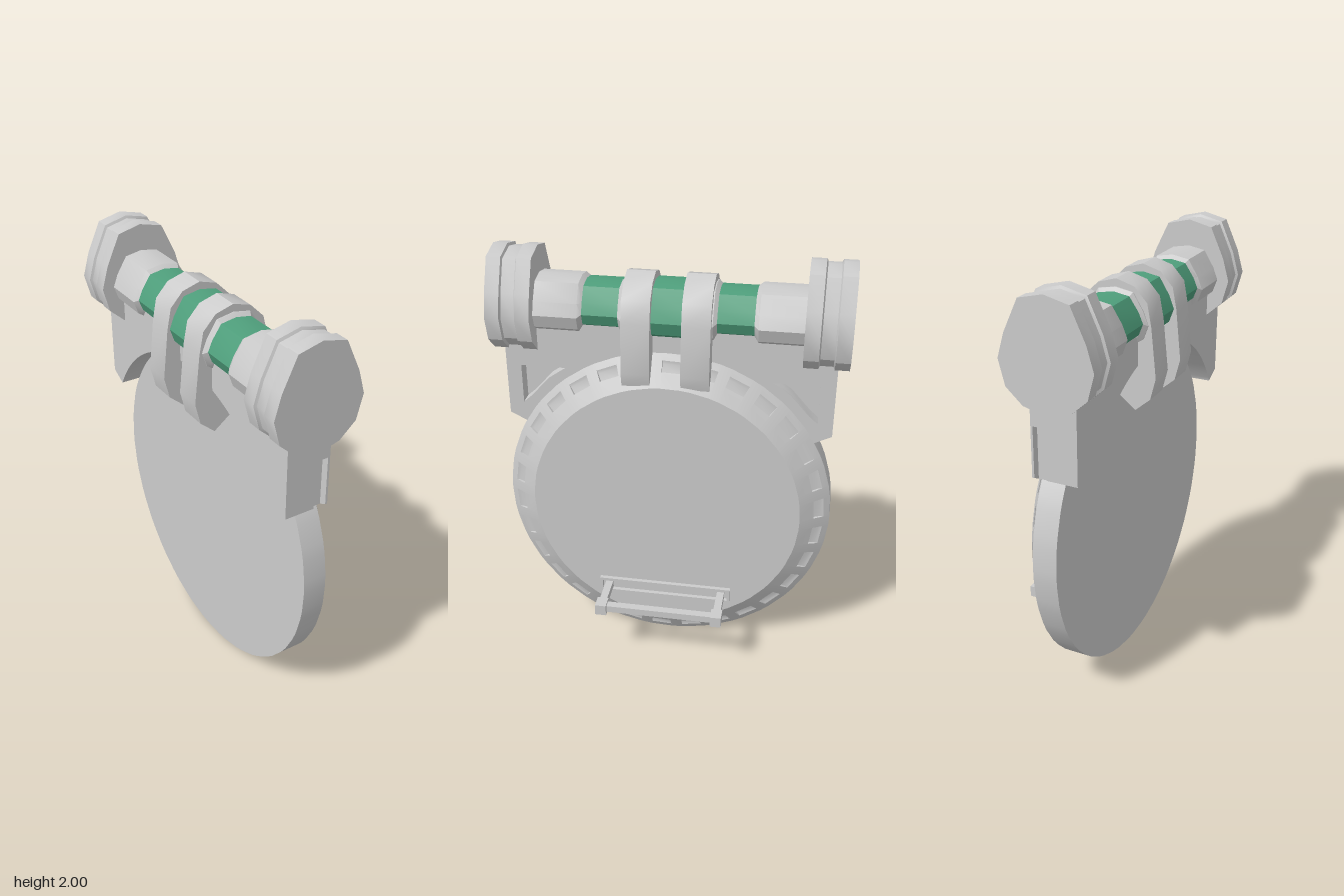
import * as THREE from 'three';
import { mergeGeometries, toCreasedNormals } from 'three/addons/utils/BufferGeometryUtils.js';

const grey = new THREE.MeshStandardMaterial({ color: 0xcccccc, side: THREE.DoubleSide });
const green = new THREE.MeshStandardMaterial({ color: 0x4f9f7c });
const AXIS_X = -0.105;

// Right half of the twelve-sided tube section, mirrored to the left
const half = [[0, 1], [0.53, 0.89], [0.85, 0.3], [1, -0.14], [0.86, -0.6], [0.5, -0.88], [0, -1]];
const section = [...half, ...half.slice(1, 6).reverse().map(([x, y]) => [-x, y])].reverse();

function add(parent, name, geometry, material = grey) {
  const mesh = new THREE.Mesh(toCreasedNormals(geometry, 0.55), material);
  mesh.name = name;
  parent.add(mesh);
  return mesh;
}

// Loft the tube section through stations [z, halfWidth, halfHeight, centreY], z rising
function loft(stations) {
  const first = stations[0], last = stations[stations.length - 1];
  const rings = [[first[0], 0, 0, first[3]], ...stations, [last[0], 0, 0, last[3]]];
  const pos = [], index = [], n = section.length;
  for (const [z, w, h, cy] of rings)
    for (const [x, y] of section) pos.push(AXIS_X + x * w, cy + y * h, z);
  for (let i = 0; i < rings.length - 1; i++) {
    for (let j = 0; j < n; j++) {
      const a = i * n + j, b = i * n + (j + 1) % n, c = a + n, d = b + n;
      if (i > 0) index.push(a, b, d);
      if (i < rings.length - 2) index.push(a, d, c);
    }
  }
  const g = new THREE.BufferGeometry();
  g.setAttribute('position', new THREE.Float32BufferAttribute(pos, 3));
  g.setIndex(index);
  return g;
}

const flip = (stations) => stations.map(([z, ...r]) => [-z, ...r]).reverse();

// Extrude a (z, y) outline from x0 to x1
function slab(shape, x0, x1) {
  return new THREE.ExtrudeGeometry(shape, { depth: x1 - x0, bevelEnabled: false, curveSegments: 32 })
    .rotateY(Math.PI / 2).translate(x0, 0, 0);
}

const polygon = (pts, Type = THREE.Shape) => new Type(pts.map(([x, y]) => new THREE.Vector2(x, y)));

// Disc with a bevelled front edge and a ring of shallow slots
function discGeometry() {
  const R = 0.783, inner = 0.645, front = 0.085, depth = 0.016;
  const v = (r, y) => new THREE.Vector2(r, y);
  const bevelR = (x) => R + (inner - R) * x / front;
  const a = 0.018, b = 0.046;
  const slot = [v(bevelR(a), a), v(bevelR(a) - depth, a), v(bevelR(b) - depth, b - 0.008), v(bevelR(b), b)];
  const plain = [v(0, -0.113), v(R, -0.113), v(R, 0), v(inner, front), v(0, front)];
  const cut = [...plain.slice(0, 3), ...slot, ...plain.slice(3)];
  const parts = [], count = 30, step = Math.PI * 2 / count, open = step * 0.64;
  for (let i = 0; i < count; i++) {
    const p = i * step;
    parts.push(new THREE.LatheGeometry(cut, 1, p, open));
    parts.push(new THREE.LatheGeometry(plain, 1, p + open, step - open));
    for (const phi of [p, p + open])
      parts.push(new THREE.ShapeGeometry(new THREE.Shape(slot)).rotateY(phi - Math.PI / 2));
  }
  return mergeGeometries(parts).rotateZ(-Math.PI / 2).translate(0, R, 0);
}

// Bracket layer: arched plate, optionally notched at the ends and with corner windows
function bracketLayer(x0, x1, notched, windows) {
  const side = [[0.68, 1.165], [0.76, 1.205], [0.76, 1.6], [0.6, 1.68]];
  if (notched) side.splice(1, 1, [0.725, 1.187], [0.725, 1.435], [0.76, 1.435]);
  const s = polygon([...side, ...side.map(([z, y]) => [-z, y]).reverse()]);
  s.absarc(0, 0.783, 0.78, Math.PI - 0.512, 0.512, true);
  if (windows) {
    for (const m of [1, -1])
      s.holes.push(polygon([[0.69, 1.455], [0.48, 1.455], [0.56, 1.4], [0.65, 1.3], [0.69, 1.265]]
        .map(([z, y]) => [m * z, y]), THREE.Path));
  }
  return slab(s, x0, x1);
}

function box(x0, x1, y0, y1, z0, z1) {
  return new THREE.BoxGeometry(x1 - x0, y1 - y0, z1 - z0)
    .translate((x0 + x1) / 2, (y0 + y1) / 2, (z0 + z1) / 2);
}

export function createModel() {
  const model = new THREE.Group();
  model.name = 'discWithTube';

  add(model, 'disc', discGeometry());

  // Bracket joining disc and tube
  const bracket = new THREE.Group();
  bracket.name = 'bracket';
  model.add(bracket);
  add(bracket, 'bracketBack', bracketLayer(-0.21, -0.07, false, false));
  add(bracket, 'bracketMiddle', bracketLayer(-0.07, -0.01, true, true));
  add(bracket, 'bracketFront', bracketLayer(-0.01, 0, false, true));

  // Tube: end caps, sleeves, collars and coloured bands
  const C = 1.742, E = 1.755;
  const cap = [[0.605, 0.21, 0.245, E], [0.672, 0.21, 0.245, E], [0.678, 0.198, 0.233, E],
    [0.738, 0.198, 0.233, E], [0.744, 0.21, 0.245, E], [0.81, 0.21, 0.245, E]];
  const sleeve = [[0.385, 0.137, 0.109, 1.75], [0.405, 0.153, 0.133, C], [0.62, 0.153, 0.133, C]];
  const band = [[0.215, 0.137, 0.109, 1.75], [0.39, 0.137, 0.109, 1.75]];
  const collar = [[0.19, 0.153, 0.133, C], [0.205, 0.153, 0.133, C], [0.222, 0.137, 0.109, 1.75]];
  for (const [label, turn] of [['left', (s) => s], ['right', flip]].map(([l, t]) => [l === 'left' ? 'front' : 'back', t])) {
    add(model, label + 'EndCap', loft(turn(cap)));
    add(model, label + 'Sleeve', loft(turn(sleeve)));
    add(model, label + 'Band', loft(turn(band)), green);
    add(model, label + 'Collar', loft(turn(collar)));
  }
  add(model, 'middleBand', loft([[-0.08, 0.153, 0.133, C], [0.08, 0.153, 0.133, C]]), green);

  // Clamps wrapping the tube down onto the disc
  const clamp = polygon([[-0.19, 1.885], [-0.105, 1.91], [-0.02, 1.885], [0.045, 1.82], [0.07, 1.72],
    [0.09, 1.49], [0.075, 1.425], [0, 1.425], [-0.11, 1.4], [-0.2, 1.33], [-0.27, 1.39],
    [-0.295, 1.49], [-0.27, 1.72], [-0.25, 1.82]]);
  for (const z of [-0.2, 0.07])
    add(model, 'clamp', new THREE.ExtrudeGeometry(clamp, { depth: 0.13, bevelEnabled: false }).translate(0, 0, z));

  // Handle with a framed base
  const handle = new THREE.Group();
  handle.name = 'handle';
  model.add(handle);
  const frame = polygon([[-0.33, 0.27], [0.33, 0.27], [0.33, 0.35], [-0.33, 0.35]]);
  frame.holes.push(polygon([[-0.315, 0.285], [-0.315, 0.335], [0.315, 0.335], [0.315, 0.285]], THREE.Path));
  add(handle, 'handleFrame', slab(frame, 0.08, 0.105));
  for (const z of [-0.283, 0.283]) {
    add(handle, 'handleArm', box(0.08, 0.25, 0.29, 0.326, z - 0.018, z + 0.018));
    add(handle, 'handleKnob', box(0.243, 0.31, 0.28, 0.335, z - 0.027, z + 0.027));
  }
  add(handle, 'handleBar', box(0.257, 0.295, 0.291, 0.325, -0.26, 0.26));

  return model;
}
